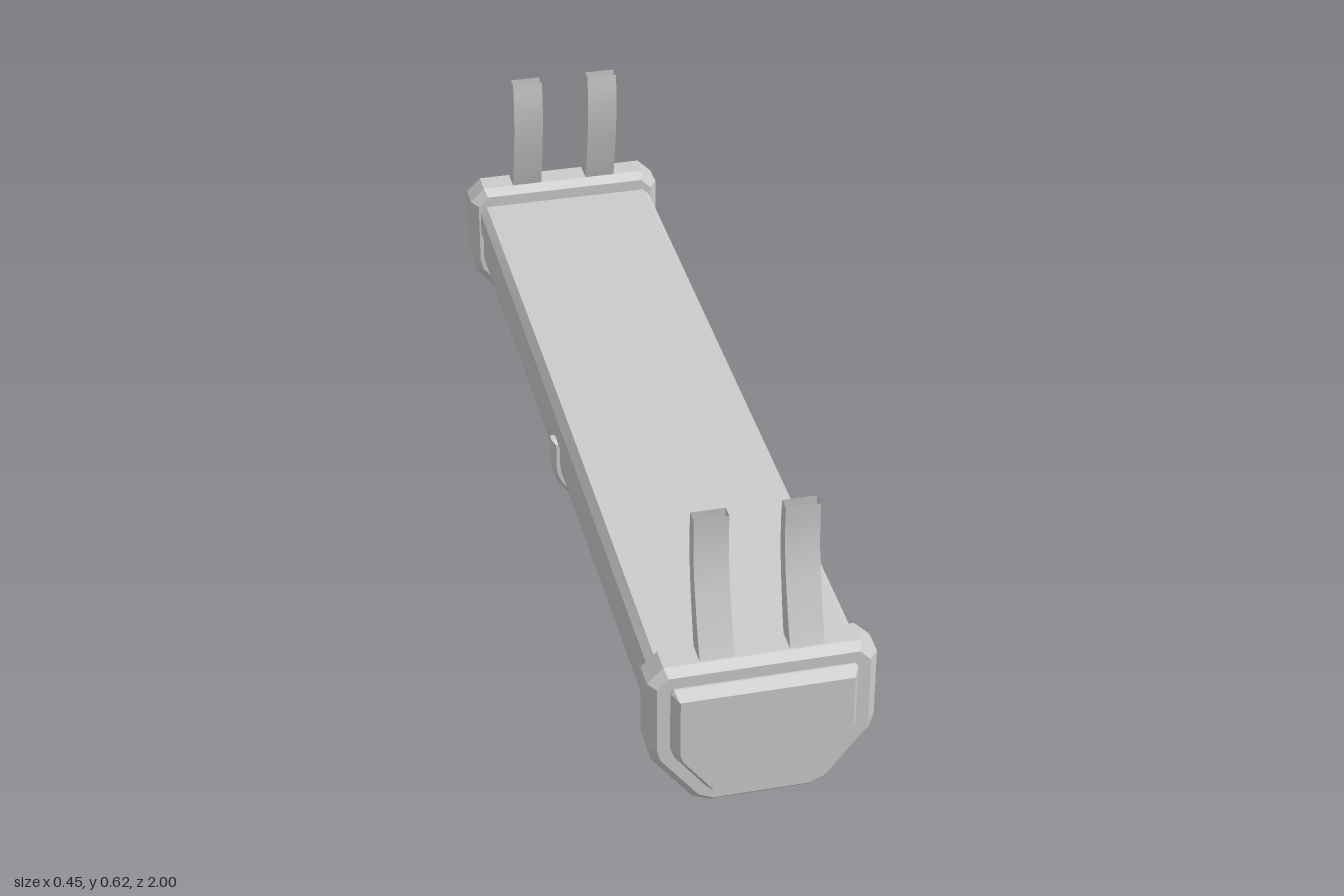
import * as THREE from 'three';
import { toCreasedNormals } from 'three/addons/utils/BufferGeometryUtils.js';

const flat = new THREE.MeshStandardMaterial({ color: 0xcccccc, flatShading: true });
const smooth = new THREE.MeshStandardMaterial({ color: 0xcccccc });
const open = new THREE.MeshStandardMaterial({ color: 0xcccccc, side: THREE.DoubleSide });

// Closed shape from the +x half of an outline, listed from top to bottom
function mirrored(half) {
  const right = half.map(([x, y]) => new THREE.Vector2(x, y)).reverse();
  const left = half.map(([x, y]) => new THREE.Vector2(-x, y));
  return new THREE.Shape([...right, ...left]);
}

// Extrude from z0 to z1, with the bevel cut into the outline
function slab(half, z0, z1, bevel = 0, bevelDepth = bevel) {
  const geo = new THREE.ExtrudeGeometry(mirrored(half), {
    depth: z1 - z0 - 2 * bevelDepth, bevelEnabled: bevel > 0,
    bevelSize: bevel, bevelOffset: -bevel, bevelThickness: bevelDepth, bevelSegments: 1,
  });
  return geo.translate(0, 0, z0 + bevelDepth);
}

function add(parent, name, geo, mat) {
  const mesh = new THREE.Mesh(geo, mat);
  mesh.name = name;
  parent.add(mesh);
  return mesh;
}

// Lower hull outline with softly rounded corners, grown outward by g
function hullHalf(top, g) {
  const side = new THREE.QuadraticBezierCurve(
    new THREE.Vector2(0.2 + g, 0.17), new THREE.Vector2(0.2 + g, 0.14 - g * 0.5), new THREE.Vector2(0.175 + g * 0.8, 0.108 - g * 0.6));
  const foot = new THREE.QuadraticBezierCurve(
    new THREE.Vector2(0.14 + g * 0.8, 0.063 - g * 0.6), new THREE.Vector2(0.124 + g * 0.5, 0.043 - g), new THREE.Vector2(0.095, 0.043 - g));
  const pts = [...side.getPoints(6), ...foot.getPoints(6)].map((p) => [p.x, p.y]);
  return [[0.2 + g, top], ...pts];
}

// Curved hollow strap: [y, centre z, thickness] along its height
const strapRows = [[0.32, 0.935, 0.05], [0.36, 0.92, 0.046], [0.43, 0.9, 0.04],
  [0.5, 0.884, 0.034], [0.57, 0.877, 0.03], [0.627, 0.879, 0.027]];
function strapGeometry() {
  const curve = new THREE.CatmullRomCurve3(strapRows.map((r) => new THREE.Vector3(...r)));
  const geo = new THREE.BoxGeometry(0.068, 1, 1, 1, 12, 1);
  // drop the top and bottom faces
  const idx = Array.from(geo.index.array);
  const keep = geo.groups.filter((g) => g.materialIndex !== 2 && g.materialIndex !== 3)
    .flatMap((g) => idx.slice(g.start, g.start + g.count));
  geo.setIndex(keep);
  geo.clearGroups();
  const pos = geo.attributes.position;
  for (let i = 0; i < pos.count; i++) {
    const p = curve.getPoint(pos.getY(i) + 0.5);
    pos.setY(i, p.x);
    pos.setZ(i, p.y + pos.getZ(i) * p.z);
  }
  geo.computeVertexNormals();
  return geo;
}

export function createModel() {
  const model = new THREE.Group();
  model.name = 'hangingTrough';

  // Upper body with chamfered edges and a very slightly crowned top
  const deck = new THREE.ExtrudeGeometry(
    mirrored([[0.19, 0.3], [0.205, 0.286], [0.205, 0.23]]),
    { depth: 1.8, steps: 12, bevelEnabled: false }).translate(0, 0, -0.9);
  const pos = deck.attributes.position;
  for (let i = 0; i < pos.count; i++) {
    if (pos.getY(i) > 0.295) pos.setY(i, 0.3 + 0.007 * (1 - (pos.getZ(i) / 0.9) ** 2));
  }
  add(model, 'upperBody', toCreasedNormals(deck, 0.4), smooth);

  // Recessed seam between the two halves
  add(model, 'seam', slab([[0.19, 0.24], [0.19, 0.2]], -0.9, 0.9), flat);

  // Lower hull and the band around its middle
  add(model, 'lowerHull', toCreasedNormals(slab(hullHalf(0.216, 0), -0.9, 0.9), 0.6), smooth);
  add(model, 'middleBand', toCreasedNormals(slab(hullHalf(0.231, 0.016), -0.018, 0.018, 0.008), 0.5), smooth);

  // Identical ends, turned to face outward
  const capHalf = [[0.193, 0.342], [0.225, 0.31], [0.225, 0.155], [0.217, 0.124], [0.136, 0.018], [0.1, 0.002]];
  const panelHalf = [[0.177, 0.301], [0.183, 0.294], [0.183, 0.159], [0.176, 0.138], [0.111, 0.052], [0.094, 0.044]];
  for (const [name, turn] of [['frontEnd', 0], ['backEnd', Math.PI]]) {
    const end = new THREE.Group();
    end.name = name;
    end.rotation.y = turn;
    add(end, 'endCap', slab(capHalf, 0.886, 0.97, 0.016), flat);
    add(end, 'endPanel', slab(panelHalf, 0.93, 1, 0.013, 0.026), flat);
    for (const x of [-0.088, 0.088]) {
      add(end, 'strap', strapGeometry(), open).position.x = x;
    }
    model.add(end);
  }
  return model;
}
